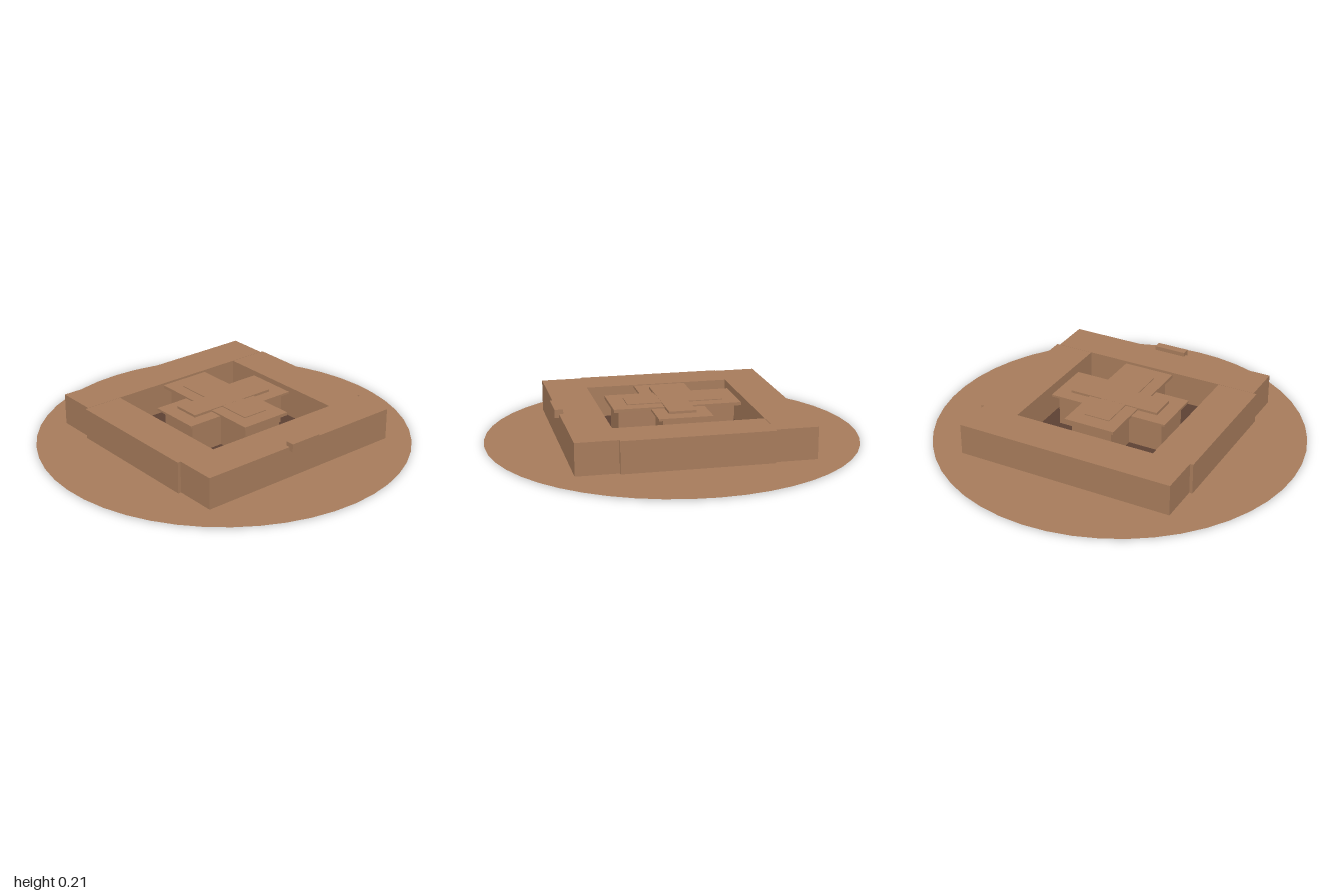
import * as THREE from 'three';

export function createModel() {
  const model = new THREE.Group();
  const clay = new THREE.MeshStandardMaterial({ color: 0xa67b5b, side: THREE.DoubleSide });
  clay.name = 'clayBrown';
  const dark = new THREE.MeshStandardMaterial({ color: 0x5c4033 });
  dark.name = 'darkBrown';

  // Box given by its size, centre and bottom/top heights
  const box = (name, material, width, depth, y0, y1, x = 0, z = 0, parent = model) => {
    const mesh = new THREE.Mesh(new THREE.BoxGeometry(width, y1 - y0, depth), material);
    mesh.position.set(x, (y0 + y1) / 2, z);
    mesh.name = name;
    parent.add(mesh);
    return mesh;
  };

  // Flat round ground and the sunken square floor
  const ground = new THREE.Mesh(new THREE.CircleGeometry(1, 48), clay);
  ground.rotation.x = -Math.PI / 2;
  ground.position.y = 0.004;
  ground.name = 'ground';
  model.add(ground);
  box('courtyardFloor', dark, 0.82, 0.82, 0, 0.018);

  // Four wings around the courtyard; the side wings stand out slightly
  for (const s of [-1, 1]) {
    box(s > 0 ? 'frontWing' : 'backWing', clay, 1.2, 0.222, 0.018, 0.188, 0, s * 0.506);
    box(s > 0 ? 'leftWing' : 'rightWing', clay, 0.222, 0.79, 0.018, 0.187, s * 0.506, 0);
  }

  // Ledge over the entrance
  box('entranceLedge', clay, 0.18, 0.045, 0.167, 0.211, 0, 0.6175);

  // Cross-shaped central hall with overhanging roofs and a smaller raised cross
  const hall = new THREE.Group();
  hall.name = 'centralHall';
  model.add(hall);
  box('hallAcross', clay, 0.61, 0.23, 0.018, 0.189, 0, 0, hall);
  box('hallLengthwise', clay, 0.23, 0.62, 0.018, 0.188, 0, 0, hall);
  box('roofAcross', clay, 0.67, 0.285, 0.188, 0.199, 0, 0, hall);
  box('roofLengthwise', clay, 0.285, 0.68, 0.190, 0.207, 0, 0, hall);
  box('ridgeAcross', clay, 0.51, 0.145, 0.198, 0.212, 0, 0, hall);
  box('ridgeLengthwise', clay, 0.145, 0.51, 0.198, 0.2115, 0, 0, hall);

  return model;
}
